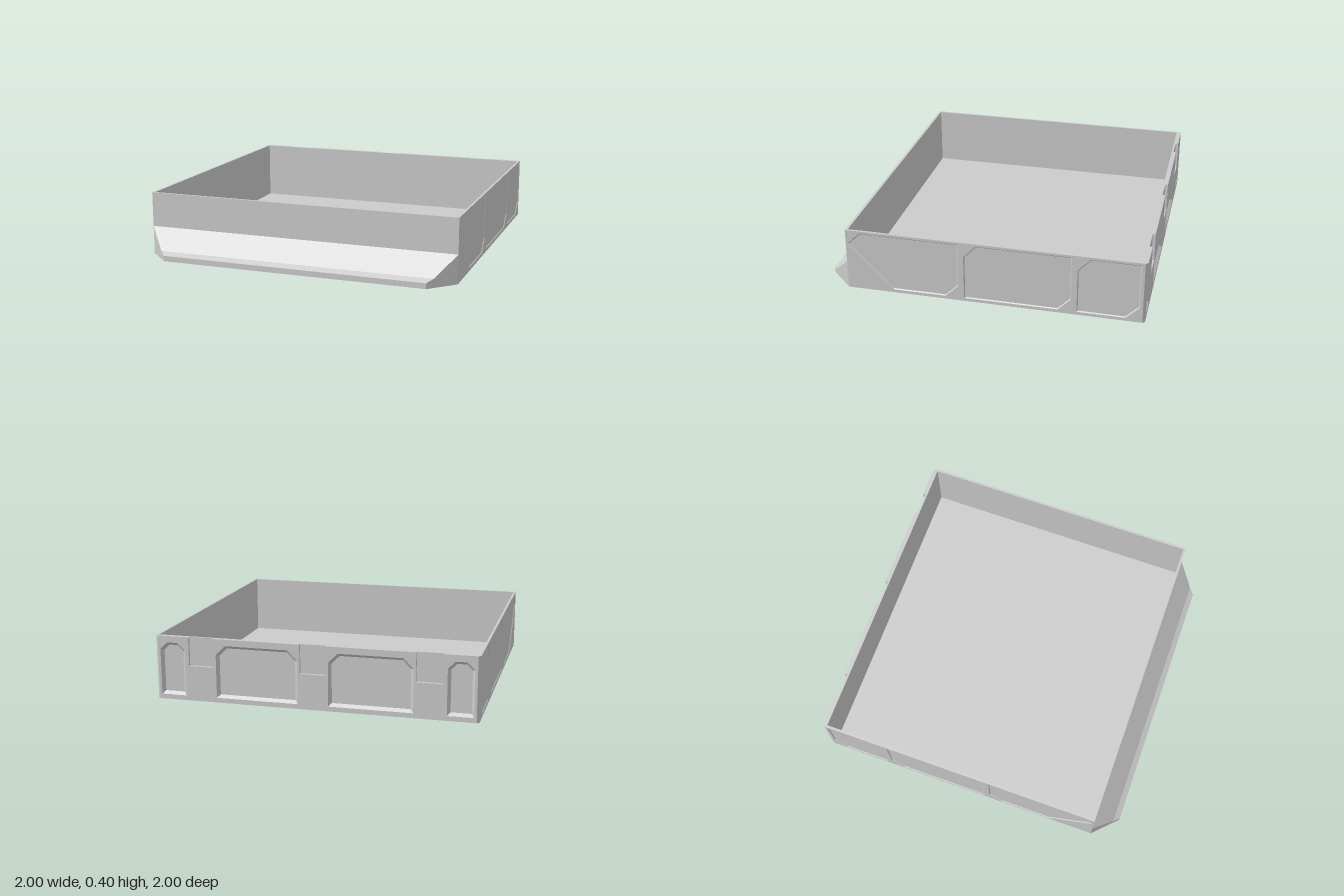
import * as THREE from 'three';
import { mergeGeometries } from 'three/addons/utils/BufferGeometryUtils.js';

const H = 0.4, FRONT = 0.85, CH = 0.015;
const material = new THREE.MeshStandardMaterial({ color: 0xcccccc, flatShading: true, side: THREE.DoubleSide });

// Flat four-cornered faces, corners counter-clockwise
function quads(list) {
  const pos = [];
  for (const [a, b, c, d] of list) pos.push(...a, ...b, ...c, ...a, ...c, ...d);
  const g = new THREE.BufferGeometry();
  g.setAttribute('position', new THREE.Float32BufferAttribute(pos, 3));
  g.computeVertexNormals();
  return g;
}

// Flat polygon with holes, facing +z
function flat(points, holes = [], z = 0) {
  const toV = (p) => new THREE.Vector2(p[0], p[1]);
  const shape = new THREE.Shape(points.map(toV));
  for (const h of holes) shape.holes.push(new THREE.Path(h.map(toV)));
  const g = new THREE.ShapeGeometry(shape).toNonIndexed();
  g.deleteAttribute('uv');
  return g.translate(0, 0, z);
}

function ccw(loop) {
  const v = loop.map((p) => new THREE.Vector2(p[0], p[1]));
  return THREE.ShapeUtils.isClockWise(v) ? [...loop].reverse() : loop;
}

// Move every edge of a convex counter-clockwise loop inwards by t
function inset(loop, t) {
  const n = loop.length;
  const dir = (a, b) => {
    const l = Math.hypot(b[0] - a[0], b[1] - a[1]);
    return [(b[0] - a[0]) / l, (b[1] - a[1]) / l];
  };
  return loop.map((p, i) => {
    const d = dir(loop[(i + n - 1) % n], p), e = dir(p, loop[(i + 1) % n]);
    const k = t / (1 + d[0] * e[0] + d[1] * e[1]);
    return [p[0] - k * (d[1] + e[1]), p[1] + k * (d[0] + e[0])];
  });
}

// Wall face with bevelled recessed panels and pockets open at the top edge
function wall(name, u0, u1, panels, depth, bevel, pockets = [], pocketDepth = 0) {
  const loops = panels.map(ccw);
  const outline = [[u0, 0], [u1, 0], [u1, H]];
  for (const p of [...pockets].reverse()) outline.push(...[...p].reverse());
  outline.push([u0, H]);
  const parts = [flat(outline, loops)];
  const sides = [];
  const strip = (a, b, d, count) => {
    for (let i = 0; i < count; i++) {
      const j = (i + 1) % a.length;
      sides.push([[...a[i], 0], [...a[j], 0], [...b[j], -d], [...b[i], -d]]);
    }
  };
  for (const l of loops) {
    const inner = inset(l, bevel);
    strip(l, inner, depth, l.length);
    parts.push(flat(inner, [], -depth));
  }
  for (const p of pockets) {
    strip(p, p, pocketDepth, 3);
    parts.push(flat(p, [], -pocketDepth));
  }
  if (sides.length) parts.push(quads(sides));
  const mesh = new THREE.Mesh(mergeGeometries(parts), material);
  mesh.name = name;
  return mesh;
}

export function createModel() {
  const model = new THREE.Group();
  const add = (name, geometry) => {
    const m = new THREE.Mesh(geometry, material);
    m.name = name;
    model.add(m);
  };

  // Side walls, panels given as [z, y]
  const sidePanels = [
    [[0.84, 0.305], [0.76, 0.385], [0.14, 0.385], [0.14, 0.1], [0.22, 0.02], [0.555, 0.02]],
    ...[[0.105, -0.555], [-0.59, -0.965]].map(([a, b]) => [
      [a, 0.305], [a - 0.078, 0.385], [b, 0.385], [b, 0.1], [b + 0.08, 0.02], [a, 0.02]]),
  ];
  for (const s of [1, -1]) {
    const panels = sidePanels.map((l) => l.map(([z, y]) => [-s * z, y]));
    const ends = [-s * FRONT, s * (1 - CH)].sort((a, b) => a - b);
    const side = wall(s > 0 ? 'plusSideWall' : 'minusSideWall', ...ends, panels, 0.006, 0.006);
    side.rotation.y = s * Math.PI / 2;
    side.position.x = s;
    model.add(side);
  }

  // Back wall with four panels and three top pockets
  const notchX = [-0.705, 0, 0.705], half = 0.08, notchDepth = 0.018;
  const backPanels = [[-0.97, -0.81], [-0.61, -0.095], [0.095, 0.61], [0.81, 0.97]].map(([a, b]) => {
    const c = b - a > 0.3 ? 0.06 : 0.045;
    return [[a, 0.03], [b, 0.03], [b, 0.36 - c], [b - c, 0.36], [a + c, 0.36], [a, 0.36 - c]];
  });
  const pockets = notchX.map((x) => [[x - half, H], [x - half, 0.22], [x + half, 0.22], [x + half, H]]);
  const back = wall('backWall', -1 + CH, 1 - CH, backPanels, 0.02, 0.018, pockets, notchDepth);
  back.rotation.y = Math.PI;
  back.position.z = -1;
  model.add(back);

  // Chamfered back corners
  const e = 1 - CH;
  add('backCorners', quads([
    [[1, 0, -e], [e, 0, -1], [e, H, -1], [1, H, -e]],
    [[-e, 0, -1], [-1, 0, -e], [-1, H, -e], [-e, H, -1]],
  ]));

  // Front wall
  add('frontWall', quads([[[-1, 0, FRONT], [1, 0, FRONT], [1, H, FRONT], [-1, H, FRONT]]]));

  // Inner walls and tray floor
  const ix = 0.985, z0 = -0.97, z1 = 0.835, fy = 0.012;
  const ring = [[-ix, z1], [ix, z1], [ix, z0], [-ix, z0]];
  add('innerWalls', quads(ring.map(([x, z], i) => {
    const [nx, nz] = ring[(i + 1) % 4];
    return [[nx, fy, nz], [x, fy, z], [x, H, z], [nx, H, nz]];
  })));
  add('trayFloor', quads([ring.map(([x, z]) => [x, fy, z])]));

  // Underside
  add('underside', flat([[-1, FRONT], [1, FRONT], [1, -e], [e, -1], [-e, -1], [-1, -e]]).rotateX(Math.PI / 2));

  // Top rim, cut by the pockets (shape y is -z)
  const rim = [[-1, -FRONT], [1, -FRONT], [1, e], [e, 1]];
  for (const x of [...notchX].reverse()) {
    rim.push([x + half, 1], [x + half, 1 - notchDepth], [x - half, 1 - notchDepth], [x - half, 1]);
  }
  rim.push([-e, 1], [-1, e]);
  add('topRim', flat(rim, [ring.map(([x, z]) => [x, -z])]).rotateX(-Math.PI / 2).translate(0, H, 0));

  // Hollow front lip: profile [z, y], narrowing forwards at 45 degrees
  const outer = [[0.85, 0.18], [0.965, 0.055], [1, 0.035], [1, 0]];
  const inner = [[0.85, 0.16], [0.955, 0.042], [0.985, 0.022], [0.985, 0]];
  const lip = [];
  const shell = (profile, reach, flip) => {
    const at = (s, [z, y]) => [s * (reach - z), y, z];
    const put = (q) => lip.push(flip ? q.reverse() : q);
    for (let i = 0; i < 3; i++) {
      const p = profile[i], q = profile[i + 1];
      put([at(-1, q), at(1, q), at(1, p), at(-1, p)]);
    }
    // Cheeks, each as two faces
    const [a, b, c, d] = profile, foot = [a[0], 0];
    for (const s of [1, -1]) {
      for (const f of [[foot, a, b, d], [d, b, c, c]]) {
        const q = f.map((p) => at(s, p));
        put(s > 0 ? q.reverse() : q);
      }
    }
  };
  shell(outer, 1.85, false);
  shell(inner, 1.829, true);
  // Bottom edge of the lip
  const edgeOut = [[-1, 0, 0.85], [-0.85, 0, 1], [0.85, 0, 1], [1, 0, 0.85]];
  const edgeIn = [[-0.979, 0, 0.85], [-0.844, 0, 0.985], [0.844, 0, 0.985], [0.979, 0, 0.85]];
  for (let i = 0; i < 3; i++) lip.push([edgeIn[i], edgeIn[i + 1], edgeOut[i + 1], edgeOut[i]]);
  add('frontLip', quads(lip));

  return model;
}
